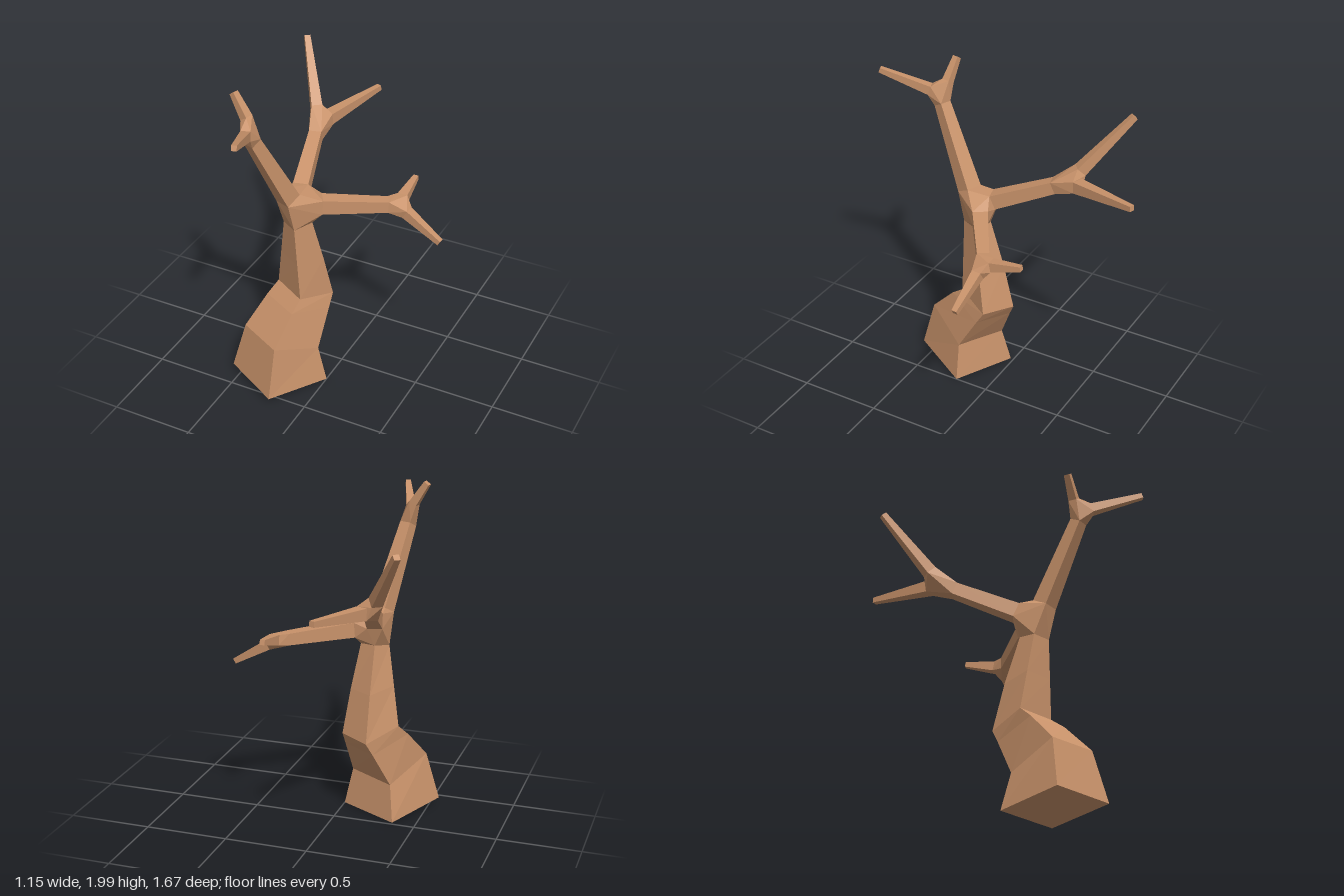
import * as THREE from 'three';
import { ConvexGeometry } from 'three/addons/geometries/ConvexGeometry.js';

const V = (p) => new THREE.Vector3(...p);
const bark = new THREE.MeshStandardMaterial({ color: 0xc8926a, flatShading: true });

// Square cross-section around a centre, level with the ground along one side
function ring(centre, dir, size) {
  const u = new THREE.Vector3(0, 1, 0).cross(dir).normalize();
  const v = dir.clone().cross(u);
  const h = size / 2;
  return [[-h, -h], [h, -h], [h, h], [-h, h]].map(([a, b]) =>
    centre.clone().addScaledVector(u, a).addScaledVector(v, b));
}

// Skin four-cornered rings, with optional caps at either end
function loft(rings, capStart, capEnd) {
  const out = [];
  const quad = (a, b, c, d) => [a, b, c, a, c, d].forEach((p) => out.push(p.x, p.y, p.z));
  for (let k = 0; k < rings.length - 1; k++) {
    for (let i = 0; i < 4; i++) {
      const j = (i + 1) % 4;
      quad(rings[k][i], rings[k][j], rings[k + 1][j], rings[k + 1][i]);
    }
  }
  if (capStart) quad(...rings[0].slice().reverse());
  if (capEnd) quad(...rings[rings.length - 1]);
  const g = new THREE.BufferGeometry();
  g.setAttribute('position', new THREE.Float32BufferAttribute(out, 3));
  g.computeVertexNormals();
  return g;
}

function add(group, name, geometry) {
  const mesh = new THREE.Mesh(geometry, bark);
  mesh.name = name;
  group.add(mesh);
}

// Tapered limb between two points; returns its end rings
function limb(group, name, from, size0, to, size1, capEnd) {
  const a = V(from), b = V(to);
  const dir = b.clone().sub(a).normalize();
  const rings = [ring(a, dir, size0), ring(b, dir, size1)];
  add(group, name, loft(rings, false, capEnd));
  return rings;
}

// Trunk corners per level: left, front, right, back
const TRUNK = [
  [[-0.555, 0.04, 0.38], [-0.2, 0.04, 0.575], [0, 0, 0.21], [-0.36, 0, 0.02]],
  [[-0.48, 0.34, 0.34], [-0.2, 0.35, 0.49], [-0.05, 0.23, 0.22], [-0.33, 0.22, 0.07]],
  [[-0.4, 0.51, 0.2], [-0.165, 0.52, 0.33], [-0.042, 0.45, 0.09], [-0.25, 0.44, -0.03]],
  [[-0.36, 0.58, 0.13], [-0.15, 0.58, 0.25], [-0.04, 0.53, 0.04], [-0.22, 0.52, -0.07]],
  [[-0.32, 0.82, 0.16], [-0.165, 0.82, 0.25], [-0.075, 0.8, 0.09], [-0.22, 0.8, 0.0]],
  [[-0.28, 1.06, 0.19], [-0.18, 1.06, 0.25], [-0.12, 1.07, 0.14], [-0.22, 1.08, 0.09]],
];

// Each branch: start, end, then two twigs; every entry is [position, thickness]
const BRANCHES = [
  { name: 'frontBranch',
    start: [[-0.222, 1.265, 0.237], 0.1], end: [[-0.305, 1.73, 0.465], 0.07],
    twigs: [
      [[-0.298, 1.805, 0.545], 0.055, [-0.2, 1.905, 0.825], 0.03],
      [[-0.345, 1.86, 0.45], 0.05, [-0.425, 1.985, 0.435], 0.035],
    ] },
  { name: 'backBranch',
    start: [[-0.225, 1.235, 0.07], 0.09], end: [[-0.31, 1.385, -0.275], 0.075],
    twigs: [
      [[-0.375, 1.495, -0.41], 0.065, [-0.555, 1.815, -0.645], 0.035],
      [[-0.302, 1.43, -0.43], 0.07, [-0.16, 1.475, -0.833], 0.032],
    ] },
  { name: 'leftBranch',
    start: [[-0.085, 1.175, 0.085], 0.09], end: [[0.235, 1.145, -0.12], 0.07],
    twigs: [
      [[0.345, 1.105, -0.148], 0.058, [0.565, 0.975, -0.13], 0.032],
      [[0.29, 1.155, -0.21], 0.06, [0.29, 1.195, -0.395], 0.03],
    ] },
];

export function createModel() {
  const tree = new THREE.Group();
  tree.name = 'bareTree';

  const trunk = TRUNK.map((level) => level.map(V));
  add(tree, 'trunk', loft(trunk, true, false));

  // Branches, each splitting into two twigs at a faceted fork
  const crotch = [...trunk[trunk.length - 1]];
  for (const { name, start, end, twigs } of BRANCHES) {
    const branch = new THREE.Group();
    branch.name = name;
    tree.add(branch);
    const [first, last] = limb(branch, 'branch', ...start, ...end, false);
    crotch.push(...first);
    const fork = [...last];
    twigs.forEach((twig) => fork.push(...limb(branch, 'twig', ...twig, true)[0]));
    add(branch, 'fork', new ConvexGeometry(fork));
  }

  // Knot where the branches leave the trunk
  add(tree, 'crotch', new ConvexGeometry(crotch));
  return tree;
}
